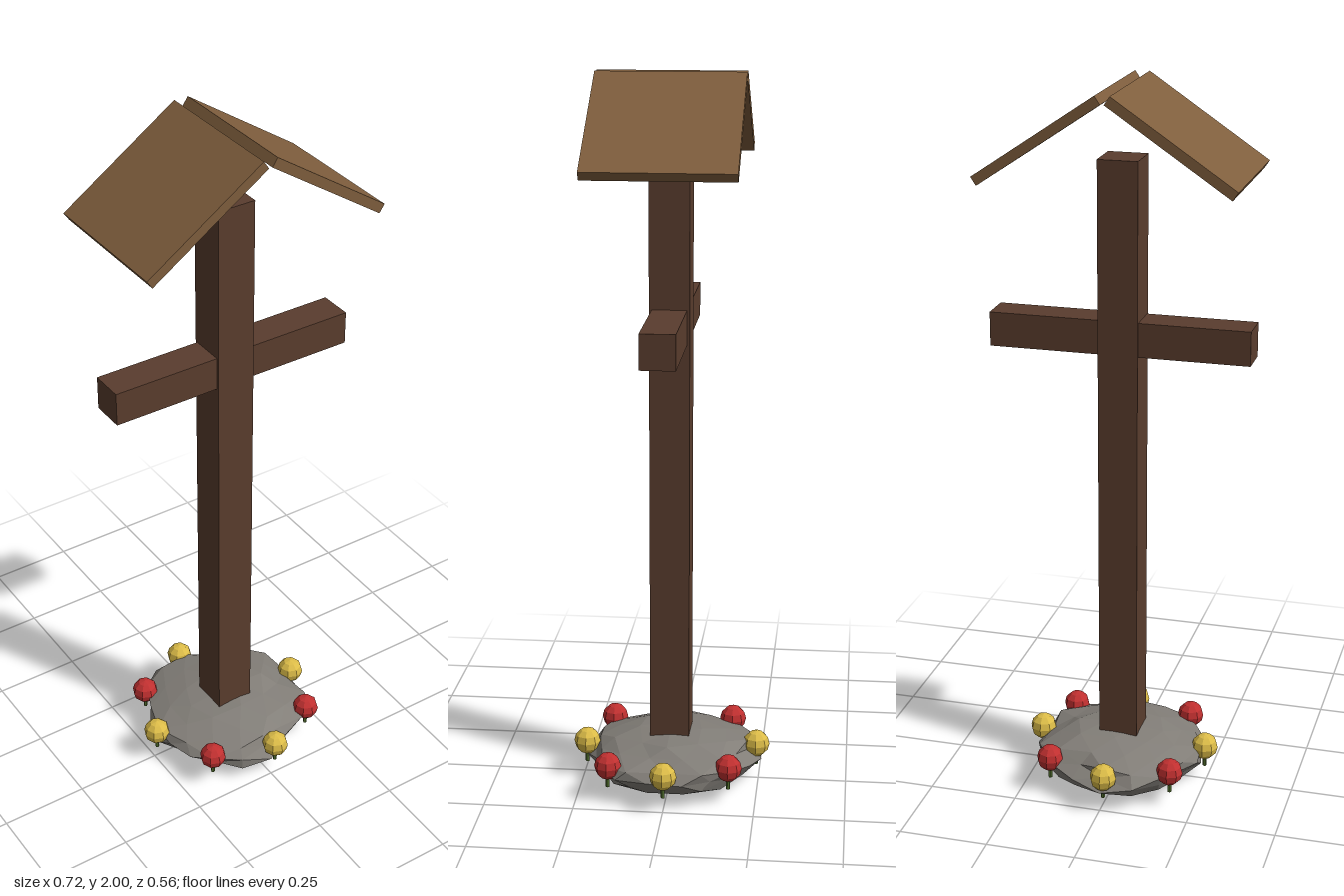
import * as THREE from 'three';

const mat = (name, color, flatShading = true) => {
  const m = new THREE.MeshStandardMaterial({ color, flatShading });
  m.name = name;
  return m;
};

export function createModel() {
  const model = new THREE.Group();
  model.name = 'waysideCross';

  const darkWood = mat('darkWood', 0x5a3d2e);
  const roofWood = mat('roofWood', 0x7f5e3d);
  const stone = mat('stone', 0x827e78);
  const red = mat('redPetals', 0xc03030);
  const yellow = mat('yellowPetals', 0xdcbc48);
  const green = mat('stemGreen', 0x4f6b2c);

  const add = (name, geometry, material, x, y, z, parent = model) => {
    const mesh = new THREE.Mesh(geometry, material);
    mesh.name = name;
    mesh.position.set(x, y, z);
    parent.add(mesh);
    return mesh;
  };

  // Upright post and crossbeam
  add('post', new THREE.BoxGeometry(0.11, 1.74, 0.11), darkWood, 0, 0.94, 0);
  add('crossbeam', new THREE.BoxGeometry(0.72, 0.095, 0.095), darkWood, 0, 1.328, 0);

  // Two sloping roof boards with a narrow gap at the ridge
  for (const side of [-1, 1]) {
    const board = add(side > 0 ? 'leftRoofBoard' : 'rightRoofBoard',
      new THREE.BoxGeometry(0.398, 0.027, 0.4), roofWood, side * 0.1775, 1.878, 0);
    board.rotation.z = -side * 0.592;
  }

  // Rough flattened boulder: each corner is moved by a hash of its own position
  const rock = new THREE.IcosahedronGeometry(1, 2);
  const p = rock.attributes.position;
  const v = new THREE.Vector3();
  const hash = (a, b, c) => {
    const s = Math.sin(Math.round(a * 100) * 12.99 + Math.round(b * 100) * 78.23 + Math.round(c * 100) * 37.72) * 437.58;
    return s - Math.floor(s);
  };
  for (let i = 0; i < p.count; i++) {
    v.fromBufferAttribute(p, i);
    v.multiplyScalar(0.9 + 0.18 * hash(v.x, v.y, v.z));
    p.setXYZ(i, v.x * 0.24, v.y * 0.074, v.z * 0.245);
  }
  rock.computeVertexNormals();
  add('rockBase', rock, stone, 0, 0.08, 0);

  // Ring of alternating yellow and red flowers, [x, z]
  const spots = [
    [0.24, 0], [0.185, 0.16], [0.02, 0.24], [-0.16, 0.182],
    [-0.243, 0.005], [-0.18, -0.165], [-0.008, -0.243], [0.167, -0.175],
  ];
  const bloom = new THREE.SphereGeometry(0.038, 8, 6);
  const stem = new THREE.CylinderGeometry(0.006, 0.006, 0.07, 5);
  spots.forEach(([x, z], i) => {
    const flower = new THREE.Group();
    flower.name = 'flower' + (i + 1);
    flower.position.set(x, 0, z);
    add('bloom', bloom, i % 2 ? red : yellow, 0, 0.108, 0, flower);
    add('stem', stem, green, 0, 0.08, 0, flower);
    model.add(flower);
  });

  return model;
}
